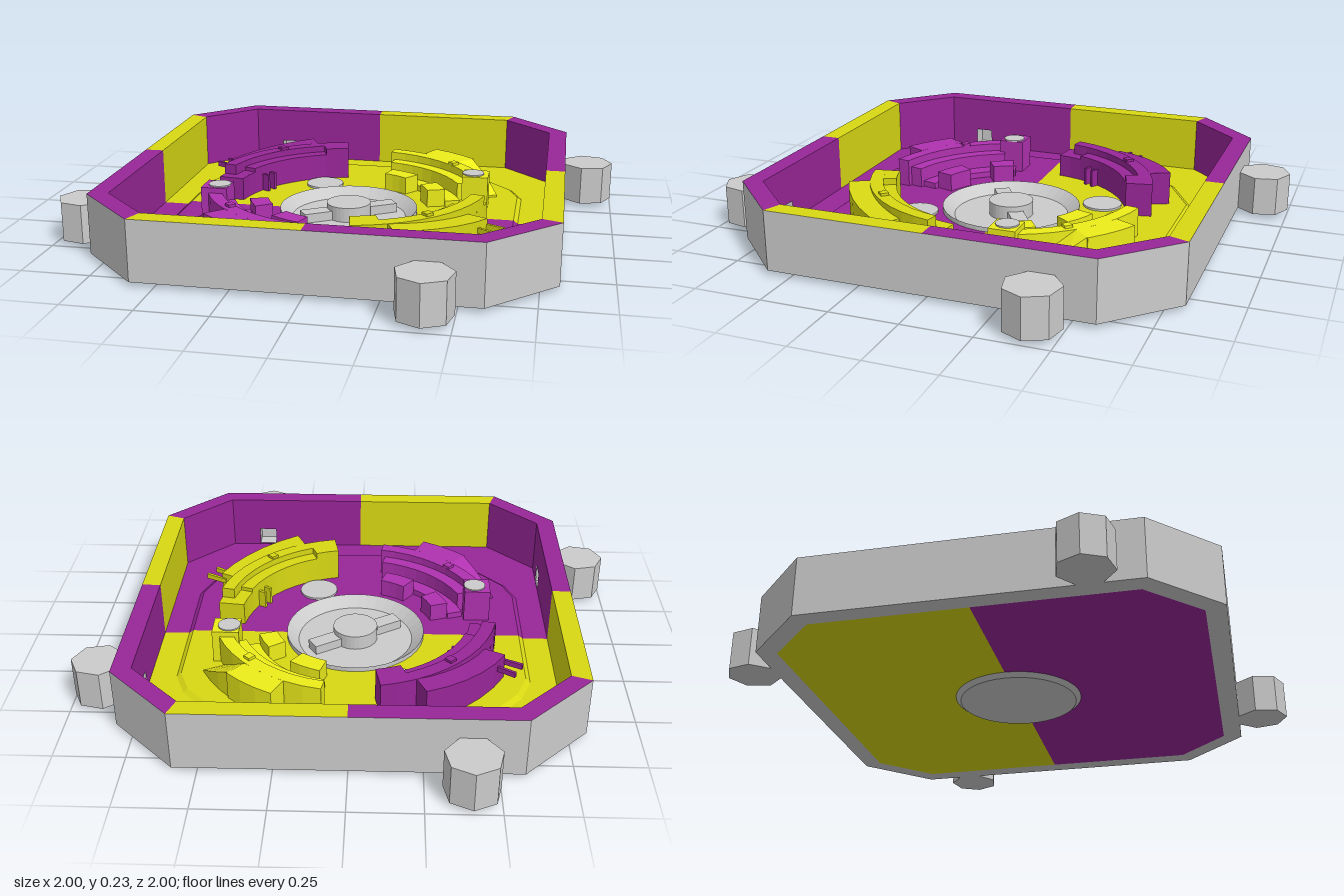
import * as THREE from 'three';

const GREY = 0xcccccc, YELLOW = 0xd8d814, PURPLE = 0x982698, BRIGHT_YELLOW = 0xecec1a, BRIGHT_PURPLE = 0xb032b0;
const BASE = 0.015, TOP = 0.235, FLOOR = 0.02, DECK = 0.032;
const rad = THREE.MathUtils.degToRad;

function add(parent, name, geometry, color = GREY) {
  const mesh = new THREE.Mesh(geometry, new THREE.MeshStandardMaterial({ color, flatShading: true, side: THREE.DoubleSide }));
  mesh.name = name;
  parent.add(mesh);
  return mesh;
}

// Four corners, counter-clockwise as seen from the front
function quad(a, b, c, d) {
  const g = new THREE.BufferGeometry();
  g.setAttribute('position', new THREE.Float32BufferAttribute([a, b, c, a, c, d].flat(), 3));
  g.computeVertexNormals();
  return g;
}

// Block swept round the centre; angles in degrees from +x towards -z, top runs from h0 to h1
function arcBlock(r0, r1, a0, a1, h0, h1 = h0, y = FLOOR) {
  const n = Math.max(2, Math.round(Math.abs(a1 - a0) / 7)), pos = [], idx = [];
  for (let s = 0; s <= n; s++) {
    const t = s / n, a = rad(a0 + (a1 - a0) * t), h = h0 + (h1 - h0) * t;
    for (const [r, v] of [[r0, y], [r1, y], [r1, h], [r0, h]]) pos.push(r * Math.cos(a), v, -r * Math.sin(a));
  }
  for (let s = 0; s < n; s++) for (let j = 0; j < 4; j++) {
    const k = (j + 1) % 4, p = s * 4, q = p + 4;
    idx.push(p + j, q + j, q + k, p + j, q + k, p + k);
  }
  const e = n * 4;
  idx.push(0, 1, 2, 0, 2, 3, e, e + 2, e + 1, e, e + 3, e + 2);
  const g = new THREE.BufferGeometry();
  g.setAttribute('position', new THREE.Float32BufferAttribute(pos, 3));
  g.setIndex(idx);
  const flat = g.toNonIndexed();
  flat.computeVertexNormals();
  return flat;
}

// Hollow wall piece between plan points: coloured lining and rim, grey outside and underside
function wallPiece(parent, o0, o1, i0, i1, color, windowAt) {
  const at = (p, y) => [p[0], y, p[1]];
  add(parent, 'wallRim', quad(at(o0, TOP), at(i0, TOP), at(i1, TOP), at(o1, TOP)), color);
  add(parent, 'wallOutside', quad(at(o0, TOP), at(o1, TOP), at(o1, BASE), at(o0, BASE)));
  add(parent, 'wallUnderside', quad(at(o0, BASE), at(o1, BASE), at(i1, BASE), at(i0, BASE)));
  const dx = i1[0] - i0[0], dz = i1[1] - i0[1], L = Math.hypot(dx, dz);
  const s = new THREE.Shape([[0, BASE], [L, BASE], [L, TOP], [0, TOP]].map(p => new THREE.Vector2(...p)));
  if (windowAt !== undefined) {
    const w = windowAt - i0[0];
    s.holes.push(new THREE.Path([[w - 0.035, 0.025], [w - 0.035, 0.095], [w + 0.035, 0.095], [w + 0.035, 0.025]]
      .map(p => new THREE.Vector2(...p))));
  }
  const lining = add(parent, 'wallLining', new THREE.ShapeGeometry(s), color);
  lining.position.set(i0[0], 0, i0[1]);
  lining.rotation.y = -Math.atan2(dz, dx);
}

function wallSide() {
  const g = new THREE.Group();
  g.name = 'wallSide';
  const o = [[-0.585, -0.815], [0, -0.815], [0.585, -0.815], [0.815, -0.585]];
  const i = [[-0.56, -0.745], [0, -0.745], [0.56, -0.745], [0.745, -0.56]];
  [PURPLE, YELLOW, PURPLE].forEach((c, k) => wallPiece(g, o[k], o[k + 1], i[k], i[k + 1], c, k === 0 ? -0.41 : undefined));
  // Recess behind the window, seen from inside only
  const recess = add(g, 'windowRecess', new THREE.BoxGeometry(0.07, 0.07, 0.06));
  recess.material.side = THREE.BackSide;
  recess.position.set(-0.41, 0.06, -0.776);
  // Seven-sided post outside the wall
  const post = add(g, 'post', new THREE.CylinderGeometry(0.098, 0.098, 0.145, 7));
  post.rotation.y = Math.PI;
  post.position.set(-0.405, 0.0875, -0.902);
  return g;
}

// Half of the floor (z < 0) with its low raised deck
function floorHalf(parent, color) {
  const outer = [[0.745, 0], [0.745, 0.56], [0.56, 0.745], [-0.56, 0.745], [-0.745, 0.56], [-0.745, 0]];
  const side = [[0.65, 0], [0.65, 0.3], [0.61, 0.4], [0.49, 0.53], [0.28, 0.645]];
  const deck = [...side, ...side.map(([x, y]) => [-x, y]).reverse()];
  const plate = (pts, hole) => {
    const s = new THREE.Shape();
    pts.forEach(([x, y], n) => n ? s.lineTo(x, y) : s.moveTo(x, y));
    s.lineTo(-hole, 0);
    s.absarc(0, 0, hole, Math.PI, 0, true);
    return new THREE.ShapeGeometry(s, 20).rotateX(-Math.PI / 2);
  };
  add(parent, 'floor', plate(outer, 0.25).translate(0, FLOOR, 0), color);
  add(parent, 'floorUnderside', plate(outer, 0.235).rotateZ(Math.PI).translate(0, BASE, 0), color);
  const inner = deck.map(([x, y]) => [x * 0.975, y * 0.975]);
  add(parent, 'deck', plate(inner, 0.25).translate(0, DECK, 0), color);
  for (let k = 0; k < deck.length - 1; k++) {
    const at = (p, y) => [p[0], y, -p[1]];
    add(parent, 'deckBevel', quad(at(deck[k], FLOOR), at(deck[k + 1], FLOOR), at(inner[k + 1], DECK), at(inner[k], DECK)), color);
  }
}

// Curved barrier with a flange and two pairs of pins
function pinBarrier(parent, color) {
  add(parent, 'barrierBack', arcBlock(0.49, 0.54, 101, 168, 0.16), color);
  add(parent, 'barrierLedge', arcBlock(0.44, 0.49, 113, 160, 0.135), color);
  add(parent, 'barrierEnd', arcBlock(0.44, 0.49, 101, 113, 0.16), color);
  add(parent, 'barrierEnd', arcBlock(0.44, 0.54, 160, 173, 0.12), color);
  add(parent, 'barrierFlange', arcBlock(0.54, 0.62, 115, 153, 0.16, 0.13), color);
  for (const a of [148, 153]) {
    add(parent, 'outerPin', arcBlock(0.6, 0.69, a - 0.5, a + 0.5, 0.11, 0.11, 0.09), color);
    add(parent, 'innerPin', arcBlock(0.41, 0.46, a - 0.8, a + 0.8, 0.1), color);
  }
  const knob = add(parent, 'knob', new THREE.BoxGeometry(0.03, 0.04, 0.03), color);
  knob.position.set(-0.35, 0.15, -0.37);
  knob.rotation.y = Math.PI / 4;
}

// Stepped barrier with a ramp behind it and a capped column at one end
function stepBarrier(parent, color) {
  add(parent, 'barrierBack', arcBlock(0.49, 0.54, 22, 79, 0.14), color);
  add(parent, 'barrierStep', arcBlock(0.44, 0.49, 24, 77, 0.11), color);
  add(parent, 'barrierStep', arcBlock(0.38, 0.44, 18, 75, 0.055), color);
  add(parent, 'innerStep', arcBlock(0.31, 0.38, 53, 72, 0.1), color);
  add(parent, 'innerStep', arcBlock(0.31, 0.38, 19, 34, 0.1), color);
  add(parent, 'flange', arcBlock(0.54, 0.625, 45, 64, 0.14), color);
  add(parent, 'ramp', arcBlock(0.54, 0.62, 27, 45, 0.04, 0.14), color);
  const knob = add(parent, 'knob', new THREE.BoxGeometry(0.03, 0.05, 0.03), color);
  knob.position.set(0.37, 0.125, -0.345);
  knob.rotation.y = Math.PI / 4;
  add(parent, 'column', new THREE.BoxGeometry(0.1, 0.14, 0.1), color).position.set(0.475, 0.09, -0.16);
  add(parent, 'columnCap', new THREE.CylinderGeometry(0.042, 0.042, 0.005, 24)).position.set(0.465, 0.1625, -0.16);
}

// Sunken bowl with a hub and two slanted arms
function bowl() {
  const g = new THREE.Group();
  g.name = 'bowl';
  const profile = [[0, 0], [0.22, 0], [0.245, 0.02], [0.265, 0.032], [0.265, 0.05], [0.22, 0.012], [0, 0.012]];
  add(g, 'dish', new THREE.LatheGeometry(profile.map(p => new THREE.Vector2(...p)), 40));
  add(g, 'hub', new THREE.CylinderGeometry(0.085, 0.085, 0.056, 32)).position.y = 0.04;
  const arms = add(g, 'arms', new THREE.BoxGeometry(0.38, 0.035, 0.06));
  arms.position.y = 0.03;
  arms.rotation.y = rad(32);
  return g;
}

export function createModel() {
  const model = new THREE.Group();
  model.name = 'arena';
  for (let k = 0; k < 4; k++) {
    const side = wallSide();
    side.rotation.y = -k * Math.PI / 2;
    model.add(side);
  }
  // The two halves repeat by a half turn with the colours swapped
  for (let k = 0; k < 2; k++) {
    const half = new THREE.Group();
    half.name = k ? 'frontHalf' : 'backHalf';
    half.rotation.y = k * Math.PI;
    floorHalf(half, k ? PURPLE : YELLOW);
    pinBarrier(half, k ? YELLOW : PURPLE);
    stepBarrier(half, k ? BRIGHT_PURPLE : BRIGHT_YELLOW);
    add(half, 'floorDisc', new THREE.CylinderGeometry(0.075, 0.075, 0.012, 28)).position.set(-0.16, 0.034, -0.32);
    model.add(half);
  }
  model.add(bowl());
  return model;
}
